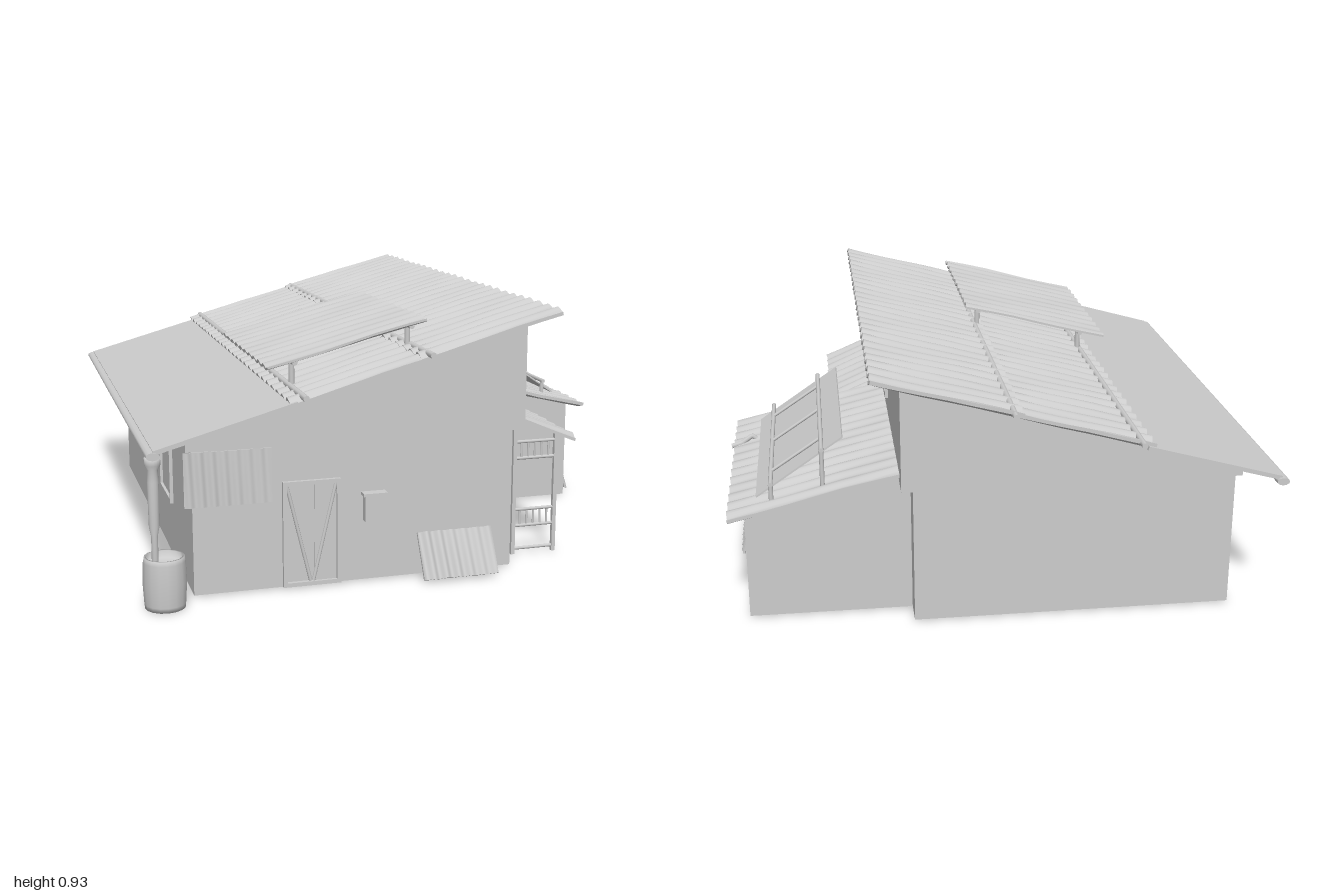
import * as THREE from 'three';

export function createModel() {
  const model = new THREE.Group();
  const grey = new THREE.MeshStandardMaterial({ color: 0xcccccc });
  grey.name = 'weatheredGrey';

  const add = (name, geometry, parent = model) => {
    const mesh = new THREE.Mesh(geometry, grey);
    mesh.name = name;
    parent.add(mesh);
    return mesh;
  };
  const group = (name) => {
    const g = new THREE.Group();
    g.name = name;
    model.add(g);
    return g;
  };
  // Box from its low and high corners
  const box = (name, a, b, parent) => {
    const m = add(name, new THREE.BoxGeometry(b[0] - a[0], b[1] - a[1], b[2] - a[2]), parent);
    m.position.set((a[0] + b[0]) / 2, (a[1] + b[1]) / 2, (a[2] + b[2]) / 2);
    return m;
  };
  // Round bar between two points
  const bar = (name, a, b, r, parent) => {
    const p = new THREE.Vector3(...a), q = new THREE.Vector3(...b);
    const m = add(name, new THREE.CylinderGeometry(r, r, p.distanceTo(q), 8), parent);
    m.position.copy(p).lerp(q, 0.5);
    m.quaternion.setFromUnitVectors(new THREE.Vector3(0, 1, 0), q.sub(p).normalize());
    return m;
  };
  const pipe = (name, points, r, parent) => add(name, new THREE.TubeGeometry(
    new THREE.CatmullRomCurve3(points.map((p) => new THREE.Vector3(...p)), false, 'catmullrom', 0.2), 32, r, 8), parent);
  // Sloping sheet from (x0,y0) to (x1,y1) between z0 and z1, rippled across z
  const sheet = (name, [x0, y0], [x1, y1], z0, z1, amp = 0.007, t = 0.01, period = 0.075, parent = model) => {
    const len = Math.hypot(x1 - x0, y1 - y0);
    const n = amp ? Math.ceil((z1 - z0) / period) * 8 : 1;
    const geo = new THREE.BoxGeometry(len, t, z1 - z0, amp ? 6 : 1, 1, n);
    const p = geo.attributes.position;
    for (let i = 0; i < p.count; i++) {
      const x = p.getX(i), z = p.getZ(i);
      const wave = Math.sin(z / period * Math.PI * 2 + 0.5 * Math.sin(x * 14));
      p.setY(i, p.getY(i) + amp * wave * (1 + 0.25 * Math.sin(z * 17 + x * 9)));
    }
    geo.computeVertexNormals();
    const m = add(name, geo, parent);
    m.position.set((x0 + x1) / 2, (y0 + y1) / 2, (z0 + z1) / 2);
    m.rotation.z = Math.atan2(y1 - y0, x1 - x0);
    return m;
  };
  // Solid with an x-y outline, running from z0 to z1
  const prism = (name, points, z0, z1) => {
    const shape = new THREE.Shape(points.map((p) => new THREE.Vector2(...p)));
    add(name, new THREE.ExtrudeGeometry(shape, { depth: z1 - z0, bevelEnabled: false })).position.z = z0;
  };
  // Rectangular frame lying in the x-y plane, facing +z
  const frame = (name, w, h, border, depth, parent = model) => {
    const rect = (s, a, b) => s.moveTo(-a, -b).lineTo(a, -b).lineTo(a, b).lineTo(-a, b).closePath();
    const shape = rect(new THREE.Shape(), w / 2, h / 2);
    shape.holes.push(rect(new THREE.Path(), w / 2 - border, h / 2 - border));
    return add(name, new THREE.ExtrudeGeometry(shape, { depth, bevelEnabled: false }), parent);
  };

  // Walls
  box('mainWalls', [-0.8, 0.01, -0.87], [0.32, 0.5, 0.87]);
  prism('upperWalls', [[-0.82, 0.5], [0.36, 0.5], [0.36, 0.865], [-0.82, 0.535]], -0.885, 0.885);
  prism('annexWalls', [[0.3, 0.01], [0.89, 0.01], [0.89, 0.4], [0.36, 0.525], [0.3, 0.525]], -0.77, 0.1);

  // Main roof: one smooth sheet and two overlapping rippled ones
  const roofY = (x) => 0.52 + (x + 0.93) * 0.278;
  const at = (x, lift = 0) => [x, roofY(x) + lift];
  sheet('lowerRoof', at(-0.93), at(-0.46), -0.97, 0.945, 0, 0.015);
  sheet('middleRoof', at(-0.485, 0.008), at(-0.02, 0.008), -0.97, 0.945, 0.008, 0.012);
  sheet('upperRoof', at(-0.04, 0.012), at(0.46, 0.008), -0.97, 0.945, 0.008, 0.012);
  for (const x of [-0.44, -0.01]) {
    bar('roofPurlin', [x, roofY(x) + 0.015, -0.998], [x, roofY(x) + 0.015, 0.975], 0.011);
  }

  // Raised sheet on legs over the main roof
  const canopy = group('raisedCanopy');
  sheet('canopySheet', [-0.525, 0.74], [0.03, 0.882], 0.03, 0.79, 0.005, 0.008, 0.075, canopy);
  for (const [x, y] of [[-0.43, 0.755], [-0.02, 0.86]]) {
    bar('canopyRail', [x, y, 0.04], [x, y, 0.78], 0.01, canopy);
    for (const z of [0.09, 0.73]) bar('canopyLeg', [x, roofY(x), z], [x, y, z], 0.01, canopy);
  }

  // Side roofs
  sheet('annexRoof', [0.36, 0.538], [0.947, 0.395], -0.81, 0.145, 0.007, 0.012);
  sheet('porchRoof', [0.355, 0.535], [0.57, 0.448], 0.145, 0.855, 0.007, 0.01);

  // Porch posts and end railing
  const porch = group('porch');
  for (const z of [0.766, 0.255]) box('porchPost', [0.526, 0.01, z - 0.007], [0.54, 0.455, z + 0.007], porch);
  box('porchPost', [0.368, 0.01, 0.759], [0.382, 0.52, 0.773], porch);
  for (const y of [0.365, 0.425, 0.115, 0.175, 0.03]) bar('railing', [0.375, y, 0.766], [0.533, y, 0.766], 0.006, porch);
  for (const y of [0.115, 0.365]) {
    for (let i = 1; i < 6; i++) {
      const x = 0.375 + i * 0.026;
      bar('railingBar', [x, y, 0.766], [x, y + 0.06, 0.766], 0.004, porch);
    }
  }

  // Stove with its flue against the porch wall
  const stove = group('stove');
  box('stoveBody', [0.325, 0.05, 0.493], [0.4, 0.235, 0.68], stove);
  const stoveDoor = frame('stoveDoor', 0.145, 0.14, 0.012, 0.009, stove);
  stoveDoor.rotation.y = Math.PI / 2;
  stoveDoor.position.set(0.4, 0.15, 0.587);
  for (const z of [0.515, 0.658]) for (const x of [0.335, 0.39]) {
    box('stoveLeg', [x - 0.006, 0.01, z - 0.006], [x + 0.006, 0.05, z + 0.006], stove);
  }
  pipe('stoveFlue', [[0.35, 0.23, 0.53], [0.35, 0.29, 0.53], [0.35, 0.315, 0.5], [0.35, 0.325, 0.36],
    [0.345, 0.34, 0.325], [0.335, 0.365, 0.315]], 0.012, stove);
  pipe('tap', [[0.32, 0.16, 0.75], [0.345, 0.16, 0.75], [0.355, 0.13, 0.745]], 0.007);

  // Windows
  const window3 = (x, y, z, w, h, angle) => {
    const g = group('window');
    frame('windowFrame', w, h, 0.014, 0.012, g);
    add('windowPane', new THREE.BoxGeometry(w - 0.02, h - 0.02, 0.004), g);
    g.position.set(x, y, z);
    g.rotation.y = angle;
  };
  window3(0.36, 0.697, -0.04, 0.41, 0.17, Math.PI / 2);
  window3(-0.8, 0.31, -0.355, 0.25, 0.2, -Math.PI / 2);
  window3(-0.8, 0.31, 0.335, 0.25, 0.2, -Math.PI / 2);
  box('annexWallPlate', [0.885, 0.22, 0.0], [0.896, 0.27, 0.05]);

  // Front door with V bracing, and meter box
  const door = group('frontDoor');
  frame('doorFrame', 0.2, 0.365, 0.014, 0.014, door).position.set(-0.4, 0.193, 0.87);
  box('doorPanel', [-0.39, 0.015, 0.868], [-0.31, 0.365, 0.874], door).scale.x = 1;
  for (const s of [-1, 1]) bar('doorBrace', [-0.4 + s * 0.085, 0.362, 0.874], [-0.4 + s * 0.005, 0.025, 0.874], 0.006, door);
  box('meterBox', [-0.22, 0.22, 0.87], [-0.15, 0.31, 0.9]);
  box('meterLid', [-0.227, 0.31, 0.87], [-0.143, 0.32, 0.907]);

  // Loose rippled sheets: one hung at the corner, two leaning
  const frontSheets = group('frontSheets');
  frontSheets.rotation.y = -Math.PI / 2;
  sheet('hangingSheet', [0.892, 0.5], [0.9, 0.318], 0.54, 0.83, 0.004, 0.006, 0.04, frontSheets);
  sheet('leaningSheet', [0.885, 0.163], [0.96, 0.016], -0.24, 0.03, 0.006, 0.008, 0.045, frontSheets);
  sheet('sideLeaningSheet', [0.9, 0.11], [0.933, 0.014], -0.275, 0.037, 0.005, 0.008, 0.045);

  // Solar panel on a tube frame
  const solar = group('solarPanel');
  sheet('panel', [0.547, 0.645], [0.848, 0.44], -0.72, 0.05, 0, 0.006, 1, solar);
  const high = [0.62, 0.61], low = [0.797, 0.492];
  for (const [x, y] of [high, low]) {
    bar('frameRail', [x, y, -0.745], [x, y, 0.075], 0.008, solar);
    for (const z of [-0.73, 0.06]) bar('frameLeg', [x, 0.538 - (x - 0.36) * 0.244, z], [x, y, z], 0.008, solar);
  }
  for (const z of [-0.62, -0.325, -0.06]) bar('frameRung', [...high, z], [...low, z], 0.006, solar);
  pipe('roofPipe', [[0.85, 0.4, -0.1], [0.88, 0.43, -0.1], [0.92, 0.405, -0.105], [0.96, 0.395, -0.11]], 0.01);

  // Gutter, downpipe and rain barrel
  const drain = group('rainwater');
  const gutter = add('gutter', new THREE.CylinderGeometry(0.022, 0.022, 1.93, 12, 1, false), drain);
  gutter.rotation.x = Math.PI / 2;
  gutter.scale.z = 0.6;
  gutter.position.set(-0.933, 0.51, -0.015);
  const profile = (points) => new THREE.LatheGeometry(points.map((p) => new THREE.Vector2(...p)), 16);
  add('downpipe', profile([[0, 0.12], [0.011, 0.12], [0.011, 0.24], [0.017, 0.27], [0.019, 0.42], [0.017, 0.46],
    [0.026, 0.475], [0.026, 0.5], [0, 0.5]]), drain).position.set(-0.93, 0, 0.91);
  add('rainBarrel', profile([[0, 0.004], [0.066, 0.004], [0.068, 0.02], [0.072, 0.09], [0.069, 0.16], [0.066, 0.175],
    [0.059, 0.175], [0.058, 0.15], [0, 0.15]]), drain).position.set(-0.903, 0, 0.925);

  return model;
}
